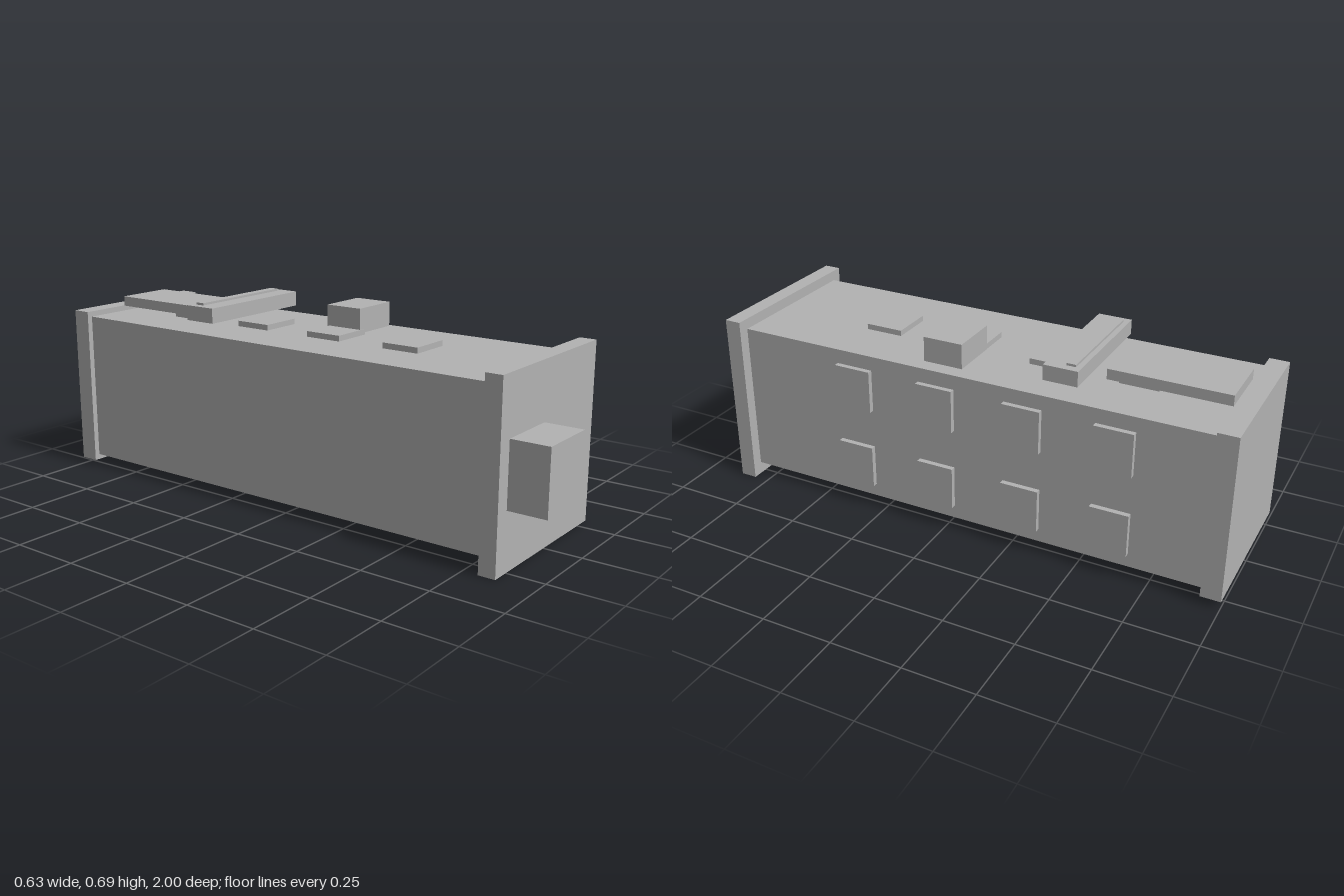
import * as THREE from 'three';

const grey = new THREE.MeshStandardMaterial({ color: 0xb2b2b2 });
grey.name = 'plain grey';

// Box given by its extents along each axis
function block(name, [x0, x1], [y0, y1], [z0, z1]) {
  const mesh = new THREE.Mesh(new THREE.BoxGeometry(x1 - x0, y1 - y0, z1 - z0), grey);
  mesh.position.set((x0 + x1) / 2, (y0 + y1) / 2, (z0 + z1) / 2);
  mesh.name = name;
  return mesh;
}

export function createModel() {
  const model = new THREE.Group();
  model.name = 'module';

  // Hull with its end plates
  model.add(
    block('hull', [-0.275, 0.275], [0.045, 0.595], [-0.93, 0.805]),
    block('frontPlate', [-0.315, 0.315], [0, 0.633], [0.805, 0.865]),
    block('backPlate', [-0.295, 0.295], [0.025, 0.615], [-1, -0.93]),
    block('frontPort', [-0.26, -0.037], [0.205, 0.43], [0.865, 1]),
  );

  // Four stations of panels: one on the roof, two on the left side
  const panels = new THREE.Group();
  panels.name = 'panels';
  for (const z of [0.352, 0.032, -0.288, -0.608]) {
    panels.add(block('roofPanel', [-0.078, 0.076], [0.595, 0.615], [z - 0.069, z + 0.069]));
    for (const y of [0.17, 0.466]) {
      panels.add(block('sidePanel', [0.275, 0.294], [y - 0.077, y + 0.077], [z - 0.068, z + 0.068]));
    }
  }
  model.add(panels);

  // Roof equipment
  model.add(
    block('roofBox', [0.05, 0.232], [0.602, 0.69], [-0.045, 0.098]),
    block('crossBar', [-0.237, 0.235], [0.63, 0.684], [-0.459, -0.338]),
    block('crossBarStrip', [-0.208, 0.206], [0.684, 0.692], [-0.44, -0.407]),
    block('longRoofPlate', [-0.11, 0.107], [0.615, 0.652], [-0.925, -0.507]),
  );
  return model;
}
